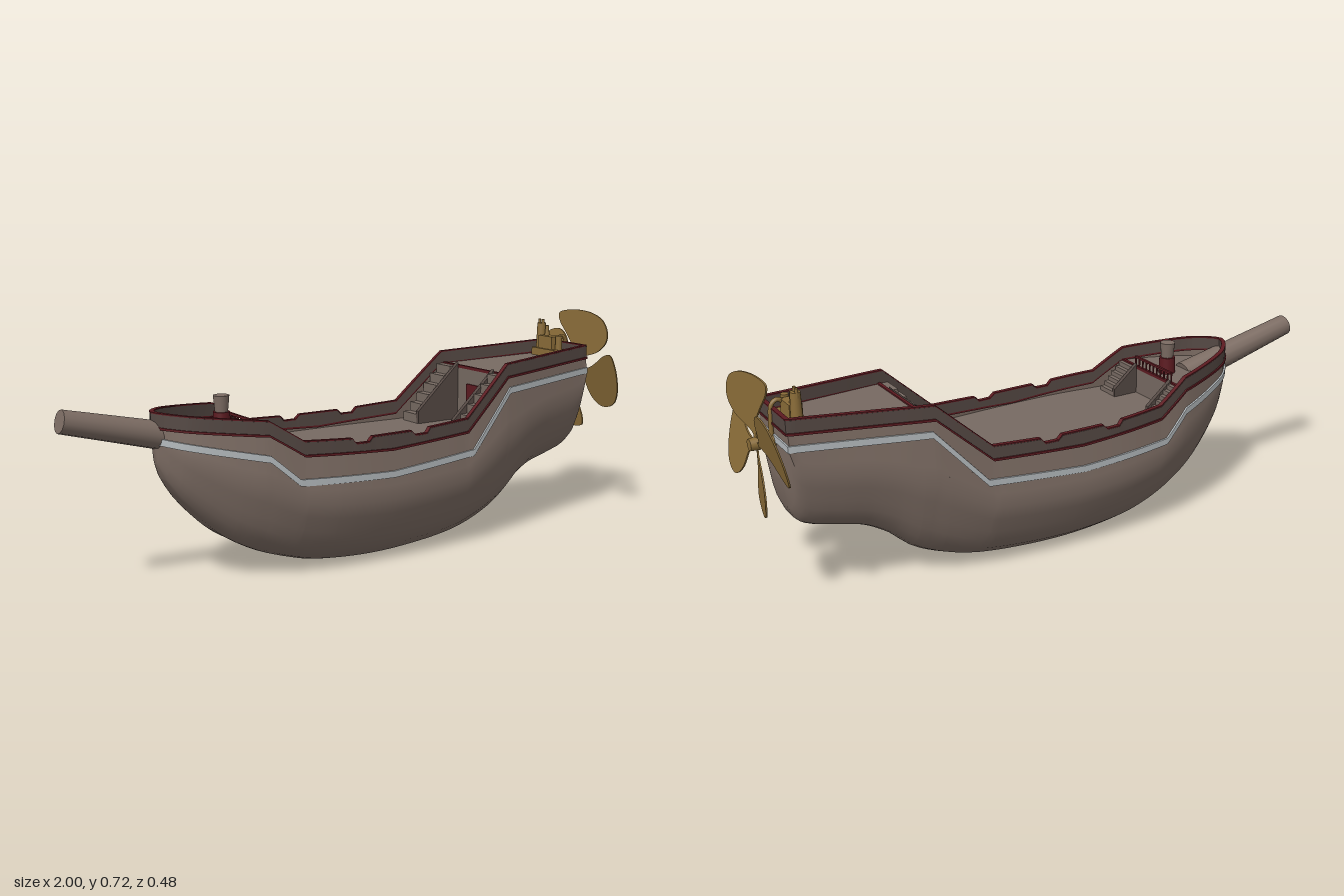
import * as THREE from 'three';
import { toCreasedNormals } from 'three/addons/utils/BufferGeometryUtils.js';

const mat = (color) => new THREE.MeshStandardMaterial({ color, side: THREE.DoubleSide });
const WOOD = mat(0x7c6c63), DECK = mat(0x776a62), DARK = mat(0x544843), RED = mat(0x5c1a20);
const PALE = mat(0xb4babd), GOLD = mat(0x8a6c38);

// Lines of the ship along x (bow at -x), as [x, value] pairs
const KEEL = [[-.71, .45], [-.70, .37], [-.65, .28], [-.58, .2], [-.5, .13], [-.4, .075], [-.3, .04], [-.2, .016], [0, .002],
  [.2, .01], [.35, .03], [.45, .06], [.53, .1], [.6, .16], [.68, .205], [.78, .23], [.87, .26], [.9, .31], [.912, .4]];
const WIDTH = [[-.71, 0], [-.702, .025], [-.68, .06], [-.64, .1], [-.58, .135], [-.5, .17], [-.42, .198], [-.32, .218], [-.2, .233],
  [-.08, .238], [.05, .236], [.2, .228], [.35, .215], [.5, .197], [.65, .168], [.8, .139], [.912, .118]];
const RAIL = [[-.71, .53], [-.42, .5], [-.31, .43], [0, .415], [.31, .43], [.49, .59], [.912, .61]];
const TOP = [[-.71, .53], [-.42, .5], [-.31, .43], [-.15, .422], [-.135, .405], [-.09, .405], [-.075, .42],
  [.075, .42], [.09, .405], [.135, .405], [.15, .422], [.31, .43], [.49, .59], [.912, .61]];
const STRIPE = [[-.71, .45], [-.42, .39], [-.33, .31], [0, .297], [.33, .32], [.5, .505], [.912, .525]];
// Half width below the widest line against height, both as fractions
const BILGE = [[0, .26], [.012, .34], [.055, .47], [.21, .67], [.38, .775], [.55, .85], [.78, .93], [1, 1]];

function at(table, x, smooth = false) {
  if (x <= table[0][0]) return table[0][1];
  for (let i = 1; i < table.length; i++) {
    const [a, p] = table[i - 1], [b, q] = table[i];
    if (x > b) continue;
    const t = (x - a) / (b - a);
    if (!smooth) return p + (q - p) * t;
    const slope = (u, v) => (v[1] - u[1]) / (v[0] - u[0]) * (b - a);
    const m0 = slope(table[Math.max(i - 2, 0)], table[i]);
    const m1 = slope(table[i - 1], table[Math.min(i + 1, table.length - 1)]);
    return p + t * m0 + t * t * (3 * (q - p) - 2 * m0 - m1) + t ** 3 * (2 * (p - q) + m0 + m1);
  }
  return table[table.length - 1][1];
}

// Half width of the hull at a length x and height y
function section(x) {
  const k = at(KEEL, x, true), r = at(RAIL, x);
  return { k, r, m: k + (r - k) * .52, w: at(WIDTH, x, true) };
}
function halfWidth(x, y) {
  const { k, r, m, w } = section(x);
  return y >= m ? w * (1 - .1 * (y - m) / (r - m)) : w * at(BILGE, (y - k) / (m - k));
}

const xs = [...Array.from({ length: 61 }, (_, i) => -.71 + 1.622 * i / 60),
  ...[KEEL, WIDTH, TOP, STRIPE].flat().map((p) => p[0])].sort((a, b) => a - b).filter((x, i, s) => !i || x - s[i - 1] > .002);

// Surface through a row of cross-sections
function loft(rings, crease = .6, wrap = false) {
  const n = rings[0].length, index = [], rows = wrap ? rings.length : rings.length - 1;
  for (let i = 0; i < rows; i++) for (let j = 0; j < n - 1; j++) {
    const a = i * n + j, b = ((i + 1) % rings.length) * n + j;
    index.push(a, a + 1, b, b, a + 1, b + 1);
  }
  const g = new THREE.BufferGeometry();
  g.setAttribute('position', new THREE.Float32BufferAttribute(rings.flat(2), 3));
  g.setIndex(index);
  return toCreasedNormals(g, crease);
}

// Rectangular moulding following the hull all the way round
function moulding(lo, hi, out, inn) {
  const side = xs.map((x) => [x, halfWidth(x, (lo(x) + hi(x)) / 2)]);
  const path = [...side.slice(1).reverse(), ...side.map(([x, w]) => [x, -w])];
  const rings = path.map(([x, z], i) => {
    const p = path[(i + path.length - 1) % path.length], q = path[(i + 1) % path.length];
    const tx = q[0] - p[0], tz = q[1] - p[1], l = Math.hypot(tx, tz) || 1;
    const pt = (d, y) => [x + tz / l * d, y, z - tx / l * d];
    return [pt(out, lo(x)), pt(out, hi(x)), pt(-inn, hi(x)), pt(-inn, lo(x)), pt(out, lo(x))];
  });
  return loft(rings, .5, true);
}

export function createModel() {
  const ship = new THREE.Group();
  const add = (name, geo, material, x = 0, y = 0, z = 0, parent = ship) => {
    const m = new THREE.Mesh(geo, material);
    m.name = name;
    m.position.set(x, y, z);
    parent.add(m);
    return m;
  };
  const box = (name, material, w, h, d, x, y, z) => add(name, new THREE.BoxGeometry(w, h, d), material, x, y, z);
  const cyl = (name, material, r1, r2, h, x, y, z, n = 20) => add(name, new THREE.CylinderGeometry(r1, r2, h, n), material, x, y, z);

  // Hull shell, closed along the keel and at the transom
  const rings = xs.map((x) => {
    const { k, r, m } = section(x), half = [];
    for (let j = 0; j < 4; j++) half.push(r - .015 + (m - r + .015) * j / 4);
    for (let j = BILGE.length - 1; j >= 0; j--) half.push(k + (m - k) * BILGE[j][0]);
    const pts = half.map((y) => [x, y, halfWidth(x, y)]);
    return [...pts, ...pts.map(([a, y, z]) => [a, y, -z]).reverse()];
  });
  rings.push(rings[rings.length - 1].map(([x, y]) => [x, y, 0]));
  add('hull', loft(rings, 1), WOOD);

  // Bulwark, rails and pale side stripe
  const rail = (x) => at(RAIL, x), top = (x) => at(TOP, x), stripe = (x) => at(STRIPE, x);
  add('bulwark', moulding((x) => rail(x) - .038, top, .004, .008), DARK);
  add('railCap', moulding(top, (x) => top(x) + .004, .005, .009), RED);
  add('lowerRail', moulding((x) => rail(x) - .045, (x) => rail(x) - .038, .007, .009), RED);
  add('sideStripe', moulding((x) => stripe(x) - .011, (x) => stripe(x) + .01, .005, .004), PALE);

  // Decks and the bulkheads between them
  const MAIN = .365, FORE = .455, POOP = .55;
  const deck = (name, x0, x1, y) => {
    const list = [x0, ...xs.filter((x) => x > x0 && x < x1), x1];
    add(name, loft(list.map((x) => [[x, y(x), halfWidth(x, y(x))], [x, y(x), -halfWidth(x, y(x))]])), DECK);
  };
  deck('foredeck', -.705, -.42, () => FORE);
  deck('mainDeck', -.42, .5, () => MAIN);
  deck('poopDeck', .5, .91, (x) => POOP + (x - .5) * .04);
  for (const [name, x, y] of [['foreBulkhead', -.424, FORE], ['aftBulkhead', .504, POOP]]) {
    const w = 2 * halfWidth(x, y) - .006;
    box(name, DECK, .008, y - MAIN, w, x, (y + MAIN) / 2, 0);
    box(name + 'Beam', RED, .01, .01, w, x, y, 0);
  }
  box('cabinDoor', RED, .006, .13, .075, .498, MAIN + .065, 0);

  // Foredeck railing
  box('foreRailing', RED, .008, .007, .2, -.424, .49, 0);
  for (let i = 0; i <= 10; i++) cyl('baluster', RED, .003, .003, .035, -.424, .472, -.1 + i * .02, 6);

  // Stepped stairs with sloping stringers on both sides of each bulkhead
  const extrude = (pts, depth) => new THREE.ExtrudeGeometry(new THREE.Shape(pts.map((p) => new THREE.Vector2(...p))),
    { depth, bevelEnabled: false });
  const stairs = (x0, x1, y, z1) => {
    const steps = 6, dx = (x1 - x0) / steps, dy = (y - MAIN) / steps, pts = [[x1, MAIN], [x0, MAIN]];
    for (let i = 0; i < steps; i++) pts.push([x0 + i * dx, MAIN + (i + 1) * dy], [x0 + (i + 1) * dx, MAIN + (i + 1) * dy]);
    const slope = [[x0, MAIN], [x1, MAIN], [x1, y + .012], [x0, MAIN + dy + .012]];
    for (const s of [1, -1]) {
      add('stairs', extrude(pts, z1 - .1), DECK, 0, 0, s > 0 ? .1 : -z1);
      add('stairStringer', extrude(slope, .014), DARK, 0, 0, s * .096 - .007);
    }
  };
  stairs(.33, .5, POOP, .176);
  stairs(-.33, -.42, FORE, .174);

  // Bowsprit and capstan
  const dir = new THREE.Vector3(-.44, .107, 0);
  const sprit = add('bowsprit', new THREE.CylinderGeometry(.035, .046, dir.length(), 12), WOOD, -.773, .482, 0);
  sprit.quaternion.setFromUnitVectors(new THREE.Vector3(0, 1, 0), dir.clone().normalize());
  cyl('capstanBase', RED, .026, .028, .06, -.48, .48, 0);
  cyl('capstanTop', WOOD, .025, .02, .05, -.48, .535, 0);

  // Engine on the poop deck
  box('engineBase', GOLD, .055, .03, .14, .865, .575, -.02);
  box('engineBlock', GOLD, .04, .05, .07, .865, .61, -.03);
  cyl('boiler', GOLD, .015, .018, .09, .868, .632, -.075);
  for (const z of [-.068, -.086]) cyl('exhaust', GOLD, .005, .005, .03, .868, .675, z, 10);
  cyl('valve', GOLD, .006, .01, .05, .868, .645, -.045, 12);
  cyl('piston', GOLD, .012, .012, .06, .865, .61, .02);
  const pipe = new THREE.CatmullRomCurve3([[.87, .62, 0], [.895, .635, 0], [.912, .625, 0], [.919, .58, 0], [.919, .52, 0]]
    .map((p) => new THREE.Vector3(...p)));
  add('drivePipe', new THREE.TubeGeometry(pipe, 20, .007, 10), GOLD);

  // Propeller with four pitched blades
  const prop = new THREE.Group();
  prop.name = 'propeller';
  prop.position.set(.968, .515, 0);
  ship.add(prop);
  const shaft = (name, r1, r2, l, x) => { add(name, new THREE.CylinderGeometry(r1, r2, l, 20), GOLD, x, 0, 0, prop).rotation.z = -Math.PI / 2; };
  shaft('shaft', .014, .018, .07, -.03);
  shaft('hub', .018, .02, .03, .005);
  const outline = [[.006, .01], [.004, .04], [.012, .08], [.035, .12], [.062, .16], [.069, .19], [.05, .203], [0, .21], [-.06, .203],
    [-.105, .18], [-.126, .14], [-.122, .1], [-.09, .065], [-.04, .045], [-.012, .03], [-.01, .01]];
  const shape = new THREE.Shape();
  shape.moveTo(...outline[0]);
  shape.splineThru(outline.slice(1).map((p) => new THREE.Vector2(...p)));
  const blade = new THREE.ExtrudeGeometry(shape, { depth: .005, bevelEnabled: false, curveSegments: 40 });
  const p = blade.attributes.position;
  for (let i = 0; i < p.count; i++) {
    const u = p.getX(i), v = p.getY(i), d = p.getZ(i);
    p.setXYZ(i, d - .25 * u - .006, v, -u);
  }
  blade.computeVertexNormals();
  for (let i = 0; i < 4; i++) add('blade', blade, GOLD, 0, 0, 0, prop).rotation.x = i * Math.PI / 2;
  return ship;
}
